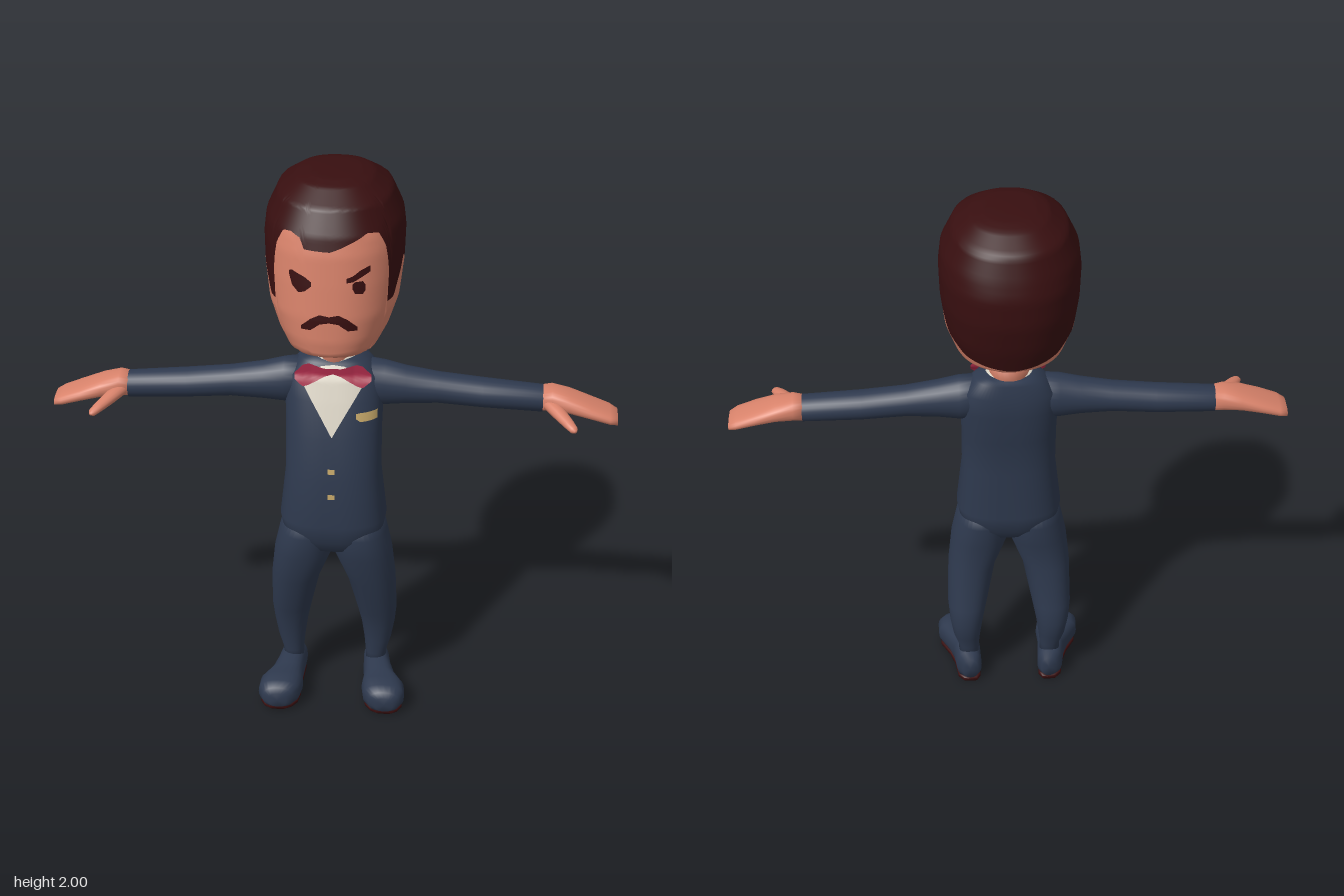
import * as THREE from 'three';

const mat = (name, color, side = THREE.FrontSide) => {
  const m = new THREE.MeshStandardMaterial({ color, side });
  m.name = name;
  return m;
};
const { lerp } = THREE.MathUtils;
const power = (v, e) => Math.sign(v) * Math.abs(v) ** e;

// piecewise linear lookup in rows whose first entry is the key
function lookup(rows, k) {
  let i = 0;
  while (i < rows.length - 2 && k > rows[i + 1][0]) i++;
  const a = rows[i], b = rows[i + 1];
  const t = Math.min(1, Math.max(0, (k - a[0]) / (b[0] - a[0])));
  return a.map((v, j) => lerp(v, b[j], t));
}

function finish(pos, idx) {
  const g = new THREE.BufferGeometry();
  g.setAttribute('position', new THREE.Float32BufferAttribute(pos, 3));
  g.setIndex(idx);
  g.computeVertexNormals();
  return g;
}

// closed-around surface: fn(angle, row 0..1) -> [x, y, z]
function wrapGrid(cols, rows, fn) {
  const pos = [], idx = [];
  for (let r = 0; r <= rows; r++)
    for (let c = 0; c < cols; c++) pos.push(...fn((c / cols) * Math.PI * 2, r / rows));
  for (let r = 0; r < rows; r++)
    for (let c = 0; c < cols; c++) {
      const a = r * cols + c, b = r * cols + ((c + 1) % cols);
      idx.push(a, b, a + cols, b, b + cols, a + cols);
    }
  return finish(pos, idx);
}

// rings of [centre, u, v], where u x v points along the loft; ends are closed
function loft(rings, n = 2, cols = 24) {
  const zero = [0, 0, 0];
  const all = [[rings[0][0], zero, zero], ...rings, [rings.at(-1)[0], zero, zero]];
  return wrapGrid(cols, all.length - 1, (th, t) => {
    const [c, u, v] = all[Math.round(t * (all.length - 1))];
    const a = power(Math.cos(th), 2 / n), b = power(Math.sin(th), 2 / n);
    return c.map((k, i) => k + u[i] * a + v[i] * b);
  });
}
const upRing = ([y, x, rx, zf, zb]) => [[x, y, (zf + zb) / 2], [0, 0, (zf - zb) / 2], [rx, 0, 0]];
const sideRing = ([x, y, z, ry, rz]) => [[x, y, z], [0, ry, 0], [0, 0, rz]];
const frontRing = ([z, x, y, rx, ry]) => [[x, y, z], [rx, 0, 0], [0, ry, 0]];

// upright body from sections [y, half width, front z, back z]
const surfacePoint = (secs, n) => (th, y) => {
  const [, rx, zf, zb] = lookup(secs, y);
  return [rx * power(Math.sin(th), 2 / n), y,
    (zf + zb) / 2 + ((zf - zb) / 2) * power(Math.cos(th), 2 / n)];
};
const frontZ = (secs, n) => (x, y) => {
  const [, rx, zf, zb] = lookup(secs, y);
  const s = Math.min(1, Math.abs(x) / rx) ** n;
  return (zf + zb) / 2 + ((zf - zb) / 2) * (1 - s) ** (1 / n);
};

// thin painted plate: stations [x, top y, bottom y] laid on a front surface
function patch(stations, zFn, lift = 0.004, cols = 24, rows = 8) {
  const pos = [], idx = [], x0 = stations[0][0], x1 = stations.at(-1)[0];
  for (let c = 0; c <= cols; c++) {
    const [x, top, low] = lookup(stations, lerp(x0, x1, c / cols));
    for (let r = 0; r <= rows; r++) {
      const y = lerp(low, top, r / rows);
      pos.push(x, y, zFn(x, y) + lift);
    }
  }
  for (let c = 0; c < cols; c++)
    for (let r = 0; r < rows; r++) {
      const a = c * (rows + 1) + r, b = a + rows + 1;
      idx.push(a, b, a + 1, b, b + 1, a + 1);
    }
  return finish(pos, idx);
}

function mirrored(geo) {
  const g = geo.clone();
  g.scale(-1, 1, 1);
  const ix = g.index.array;
  for (let i = 0; i < ix.length; i += 3) [ix[i], ix[i + 1]] = [ix[i + 1], ix[i]];
  g.computeVertexNormals();
  return g;
}

export function createModel() {
  const model = new THREE.Group();
  const skin = mat('skin', 0xd9836b), suit = mat('navy suit', 0x2e394e), hair = mat('dark hair', 0x380f10);
  const paint = mat('dark face paint', 0x380f10, THREE.DoubleSide);
  const white = mat('shirt white', 0xdcd5c6, THREE.DoubleSide);
  const red = mat('bow tie red', 0xa82a48, THREE.DoubleSide);
  const gold = mat('gold', 0xc4a668, THREE.DoubleSide);
  const add = (name, geo, m) => {
    const mesh = new THREE.Mesh(geo, m);
    mesh.name = name;
    model.add(mesh);
  };
  const pair = (name, geo, m) => {
    add('left' + name, geo, m);
    add('right' + name, mirrored(geo), m);
  };

  // head, split into skin and hair along the hairline
  const headSecs = [
    [1.39, 0.05, 0.09, -0.04], [1.405, 0.09, 0.13, -0.07], [1.43, 0.125, 0.215, -0.1],
    [1.455, 0.152, 0.268, -0.14], [1.51, 0.185, 0.277, -0.22], [1.59, 0.213, 0.277, -0.25],
    [1.7, 0.226, 0.268, -0.275], [1.8, 0.229, 0.258, -0.278], [1.86, 0.222, 0.243, -0.262],
    [1.94, 0.185, 0.205, -0.235], [1.985, 0.125, 0.13, -0.155], [1.997, 0.08, 0.085, -0.1],
    [2, 0.001, 0.001, -0.001]];
  const sideLine = [[0.7, 1.865], [0.82, 1.82], [0.9, 1.74], [0.93, 1.62], [1.12, 1.62],
    [1.2, 1.66], [1.35, 1.72], [1.43, 1.73], [1.6, 1.69], [1.9, 1.605], [2.3, 1.54], [Math.PI, 1.51]];
  const hairline = [
    ...sideLine.map(([a, y]) => [-a, y]).reverse(),
    [-0.55, 1.868], [-0.38, 1.855], [-0.32, 1.822], [0, 1.818], [0.2, 1.84], [0.5, 1.87], ...sideLine];
  const lineAt = (th) => lookup(hairline, th > Math.PI ? th - Math.PI * 2 : th)[1];
  const head = surfacePoint(headSecs, 2.3), face = frontZ(headSecs, 2.3);
  add('face', wrapGrid(160, 32, (th, t) => head(th, lerp(1.39, lineAt(th), t))), skin);
  add('hair', wrapGrid(160, 32, (th, t) => head(th, lerp(lineAt(th), 2, 1 - (1 - t) ** 2))), hair);

  // painted face details
  add('moustache', patch([[-0.09, 1.568, 1.555], [-0.06, 1.596, 1.556], [-0.03, 1.612, 1.58],
    [0, 1.606, 1.585], [0.03, 1.612, 1.58], [0.06, 1.596, 1.556], [0.09, 1.568, 1.555]], face), paint);
  add('rightEyeAndBrow', patch([[-0.13, 1.745, 1.735], [-0.12, 1.75, 1.7], [-0.1, 1.742, 1.68],
    [-0.08, 1.735, 1.685], [-0.058, 1.72, 1.705]], face), paint);
  add('leftBrow', patch([[0.055, 1.735, 1.72], [0.075, 1.742, 1.722], [0.1, 1.76, 1.735],
    [0.128, 1.77, 1.75]], face), paint);
  add('leftEye', patch([[0.073, 1.715, 1.7], [0.082, 1.722, 1.682], [0.105, 1.722, 1.678],
    [0.113, 1.71, 1.69]], face), paint);

  // neck and collar
  add('neck', loft([[1.28, 0, 0.068, 0.08, -0.045], [1.36, 0, 0.068, 0.09, -0.05],
    [1.43, 0, 0.085, 0.115, -0.07]].map(upRing)), skin);
  add('collar', loft([[1.31, 0, 0.1, 0.085, -0.045], [1.345, 0, 0.088, 0.087, -0.045],
    [1.36, 0, 0.072, 0.085, -0.04]].map(upRing)), white);

  // jacket
  const bodySecs = [
    [0.62, 0.04, 0.13, 0.04], [0.65, 0.11, 0.175, 0], [0.7, 0.17, 0.203, -0.035],
    [0.77, 0.183, 0.217, -0.05], [0.95, 0.163, 0.2, -0.037], [1.1, 0.163, 0.175, -0.055],
    [1.22, 0.166, 0.14, -0.075], [1.29, 0.16, 0.118, -0.072], [1.34, 0.115, 0.092, -0.063],
    [1.355, 0.075, 0.078, -0.058]];
  const chest = frontZ(bodySecs, 2.6);
  add('jacket', loft(bodySecs.map(([y, ...r]) => upRing([y, 0, ...r])), 2.6, 64), suit);
  add('shirtFront', patch([[-0.1, 1.3, 1.275], [-0.04, 1.335, 1.175], [0, 1.34, 1.105],
    [0.04, 1.335, 1.175], [0.1, 1.3, 1.275]], chest, 0.006, 32, 24), white);
  const bowZ = (x, y) => chest(Math.min(Math.abs(x), 0.07), Math.min(y, 1.31));
  pair('BowTieWing', patch([[0, 1.335, 1.315], [0.03, 1.335, 1.305], [0.08, 1.35, 1.278],
    [0.1, 1.345, 1.272], [0.128, 1.315, 1.295]], bowZ, 0.01), red);
  add('pocketSquare', patch([[0.08, 1.185, 1.168], [0.095, 1.187, 1.157], [0.15, 1.187, 1.157]],
    chest, 0.006), gold);
  for (const y of [0.985, 0.892])
    add('button', patch([[-0.012, y + 0.009, y - 0.009], [0.012, y + 0.009, y - 0.009]], chest, 0.005), gold);

  // sleeves, hands and thumbs
  pair('Sleeve', loft([[0.09, 1.255, 0.022, 0.08, 0.07], [0.17, 1.247, 0.028, 0.079, 0.066],
    [0.24, 1.242, 0.03, 0.066, 0.06], [0.35, 1.235, 0.03, 0.053, 0.055], [0.5, 1.222, 0.031, 0.05, 0.055],
    [0.7, 1.211, 0.036, 0.046, 0.049]].map(sideRing)), suit);
  pair('Hand', loft([[0.69, 1.212, 0.036, 0.04, 0.044], [0.73, 1.217, 0.036, 0.04, 0.054],
    [0.79, 1.208, 0.043, 0.033, 0.063], [0.86, 1.188, 0.048, 0.025, 0.066],
    [0.925, 1.167, 0.05, 0.021, 0.062], [0.952, 1.157, 0.05, 0.016, 0.05]].map(sideRing), 2.5), skin);
  pair('Thumb', loft([[0.72, 1.208, 0.06, 0.028], [0.755, 1.195, 0.115, 0.025], [0.785, 1.185, 0.165, 0.02],
    [0.802, 1.178, 0.192, 0.015], [0.807, 1.176, 0.2, 0.006]].map(
    ([x, y, z, r]) => [[x, y, z], [r * 0.82, 0, -r * 0.57], [0, r * 0.8, 0]]), 2, 14), skin);

  // trousers
  pair('TrouserLeg', loft([[0.09, 0.15, 0.036, 0.06, -0.02], [0.14, 0.15, 0.037, 0.066, -0.016],
    [0.2, 0.156, 0.049, 0.075, -0.04], [0.27, 0.157, 0.06, 0.087, -0.05], [0.34, 0.153, 0.07, 0.108, -0.045],
    [0.5, 0.134, 0.085, 0.163, -0.015], [0.62, 0.104, 0.102, 0.19, -0.022], [0.71, 0.096, 0.09, 0.203, -0.035],
    [0.77, 0.09, 0.07, 0.18, -0.02]].map(upRing), 2.2, 32), suit);

  // shoes with flat dark soles
  const shoe = [[-0.042, 0.146, 0.06, 0.028, 0.042], [-0.02, 0.15, 0.064, 0.046, 0.06],
    [0.05, 0.157, 0.066, 0.05, 0.062], [0.1, 0.168, 0.06, 0.057, 0.054], [0.16, 0.183, 0.06, 0.077, 0.055],
    [0.21, 0.188, 0.06, 0.074, 0.052], [0.238, 0.19, 0.056, 0.055, 0.042], [0.25, 0.191, 0.052, 0.032, 0.028]];
  pair('Shoe', loft(shoe.map(frontRing), 2.5), suit);
  pair('Sole', loft(shoe.map(([z, x, , rx]) =>
    frontRing([z * 0.97, x, 0.009 + Math.max(0, z) * 0.03, rx * 0.9, 0.009])), 4), hair);

  return model;
}
